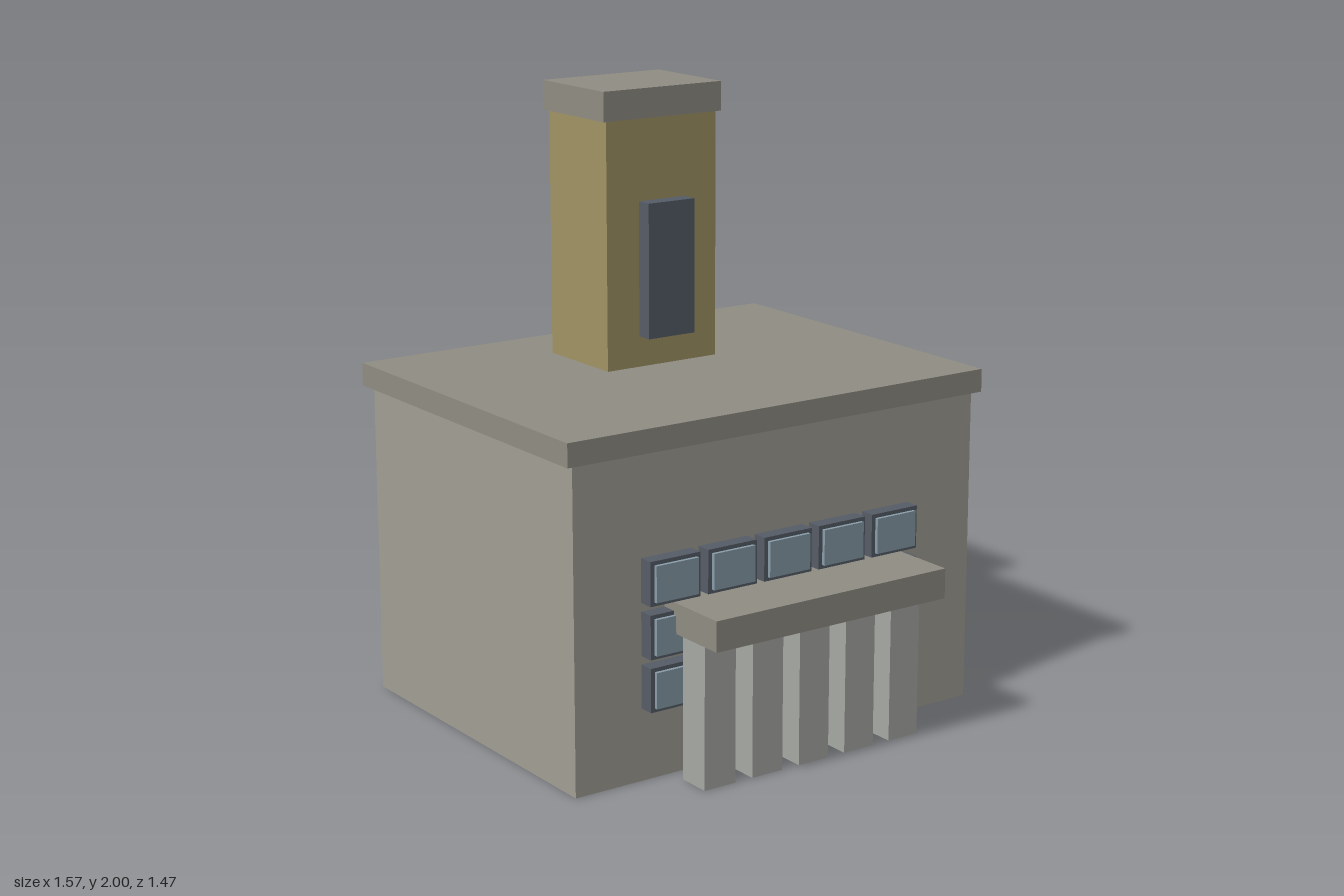
import * as THREE from 'three';

const mat = (color) => new THREE.MeshStandardMaterial({ color });

export function createModel() {
  const model = new THREE.Group();
  const wall = mat(0xa39f95), trim = mat(0x918e84), brick = mat(0xa39566);
  const frame = mat(0x575d68), glass = mat(0x8a9eab), stone = mat(0xa8aaa6), wood = mat(0x635856);

  // Box given by its extents along each axis
  const box = (name, material, [x0, x1], [y0, y1], [z0, z1], parent = model) => {
    const mesh = new THREE.Mesh(new THREE.BoxGeometry(x1 - x0, y1 - y0, z1 - z0), material);
    mesh.position.set((x0 + x1) / 2, (y0 + y1) / 2, (z0 + z1) / 2);
    mesh.name = name;
    parent.add(mesh);
  };
  const span = (c, size) => [c - size / 2, c + size / 2];

  // Main block and overhanging roof slab
  box('mainBlock', wall, [-0.76, 0.76], [0, 1.03], [-0.71, 0.467]);
  box('roofSlab', trim, [-0.787, 0.787], [1.03, 1.105], [-0.735, 0.485]);

  // Tower with cap and tall window
  box('tower', brick, [-0.21, 0.21], [1.105, 1.905], [-0.5, -0.172]);
  box('towerCap', trim, [-0.225, 0.225], [1.905, 2], [-0.512, -0.163]);
  box('towerWindow', frame, [-0.088, 0.088], [1.205, 1.642], [-0.172, -0.117]);

  // Grid of framed windows, leaving out the one behind the door
  const windows = new THREE.Group();
  windows.name = 'windows';
  model.add(windows);
  for (let row = 0; row < 3; row++) {
    for (let col = 0; col < 5; col++) {
      if (row === 0 && col === 2) continue;
      const x = -0.43 + col * 0.21, y = 0.303 + row * 0.167;
      box('windowFrame', frame, span(x, 0.182), span(y, 0.14), [0.467, 0.517], windows);
      box('windowGlass', glass, span(x, 0.154), span(y, 0.115), [0.517, 0.529], windows);
    }
  }

  // Entrance: door, lintel, colonnade and canopy
  box('door', wood, [-0.125, 0.125], [0, 0.355], [0.467, 0.523]);
  box('doorLintel', brick, [-0.14, 0.14], [0.355, 0.408], [0.467, 0.524]);
  for (let i = -2; i <= 2; i++) {
    box('column', stone, span(i * 0.178, 0.114), [0, 0.47], [0.529, 0.642]);
  }
  box('canopy', trim, [-0.437, 0.437], [0.47, 0.567], [0.467, 0.735]);

  return model;
}
